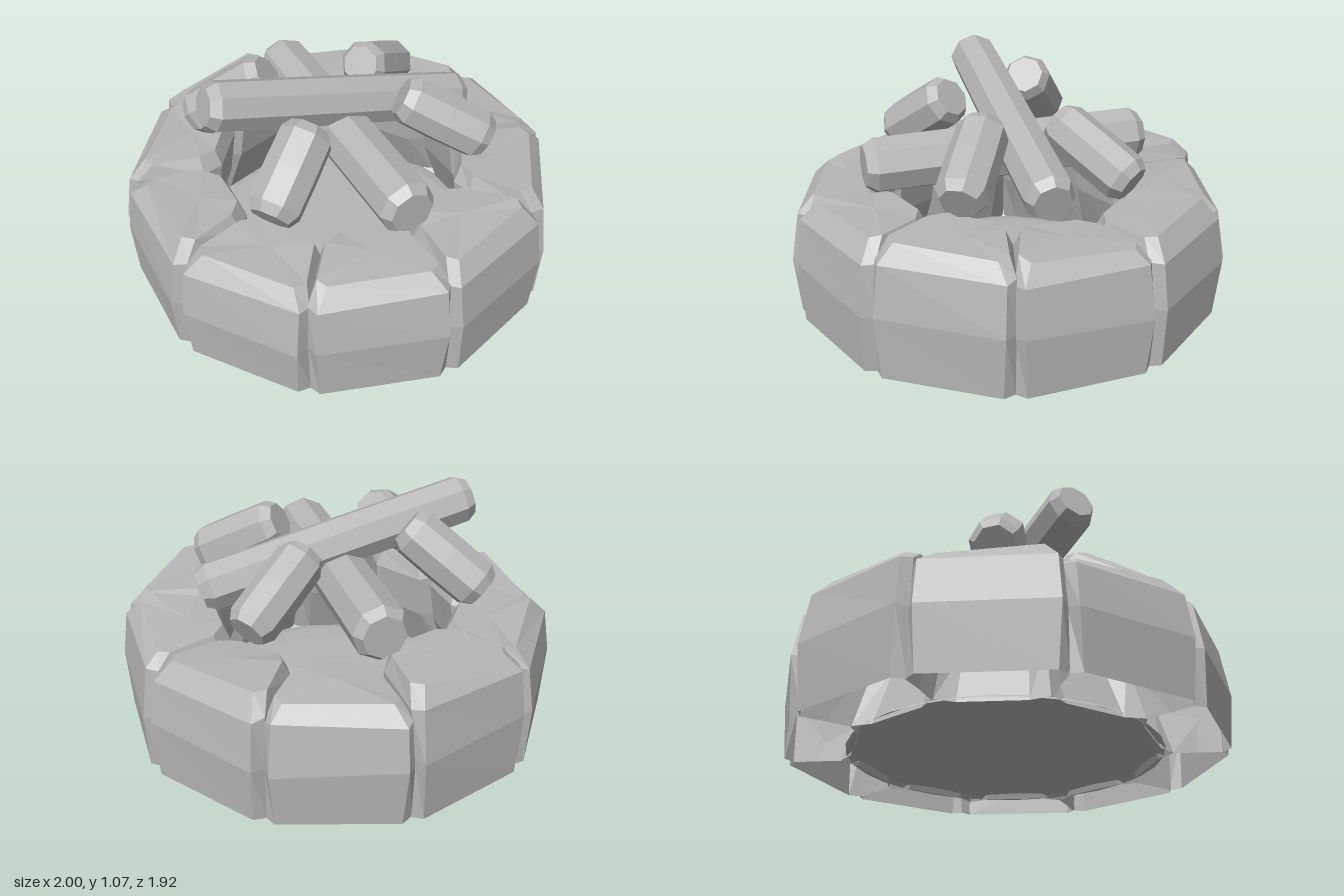
import * as THREE from 'three';

const stoneGrey = new THREE.MeshStandardMaterial({ color: 0xb6b6b6, flatShading: true, side: THREE.DoubleSide });
stoneGrey.name = 'stoneGrey';

let seed = 7;
const jitter = (a) => {
  seed = (seed * 16807) % 2147483647;
  return (seed / 2147483647 - 0.5) * 2 * a;
};

// One half of a cross-section per level: [height fraction, four (half width, radius) corners from outside to inside]
const LEVELS = [
  [0, [0.258, 0.945], [0.297, 0.9], [0.223, 0.7], [0.14, 0.665]],
  [0.48, [0.275, 0.96], [0.297, 0.905], [0.202, 0.62], [0.13, 0.56]],
  [0.87, [0.265, 0.93], [0.289, 0.88], [0.199, 0.6], [0.125, 0.53]],
  [1, [0.215, 0.865], [0.248, 0.82], [0.172, 0.62], [0.105, 0.56]],
];

// Chunky wedge-shaped boulder, open underneath; z is the radial direction
function stoneGeometry(height) {
  const pos = [], index = [];
  const lean = jitter(0.015);
  LEVELS.forEach(([f, ...half], level) => {
    const ring = [...half, ...half.map(([x, z]) => [-x, z]).reverse()];
    ring.forEach(([x, z]) => {
      const a = level === 0 ? 0 : 0.006;
      const y = f * height + (level > 0 ? jitter(0.012) + (level === 3 ? lean * x * 4 : 0) : 0);
      pos.push(x + jitter(a), y, z + jitter(a));
    });
  });
  for (let l = 0; l < LEVELS.length - 1; l++) {
    for (let i = 0; i < 8; i++) {
      const a = l * 8 + i, b = l * 8 + (i + 1) % 8;
      index.push(a, a + 8, b, b, a + 8, b + 8);
    }
  }
  const top = (LEVELS.length - 1) * 8;
  pos.push(0, height + 0.004, 0.7);
  for (let i = 0; i < 8; i++) index.push(top + i, top + 8, top + (i + 1) % 8);
  // turn every face outward
  for (let i = 0; i < index.length; i += 3) {
    const [p, q, r] = [0, 1, 2].map((k) => new THREE.Vector3().fromArray(pos, index[i + k] * 3));
    const n = q.clone().sub(p).cross(r.clone().sub(p));
    const out = p.clone().add(q).add(r).divideScalar(3).sub(new THREE.Vector3(0, height / 2, 0.76));
    if (n.dot(out) < 0) [index[i + 1], index[i + 2]] = [index[i + 2], index[i + 1]];
  }
  const g = new THREE.BufferGeometry();
  g.setAttribute('position', new THREE.Float32BufferAttribute(pos, 3));
  g.setIndex(index);
  const flat = g.toNonIndexed();
  flat.computeVertexNormals();
  return flat;
}

// Eight-sided log with bevelled ends, running between two points
function makeLog(name, from, to, r) {
  const a = new THREE.Vector3(...from), b = new THREE.Vector3(...to);
  const h = a.distanceTo(b) / 2 + 0.02;
  const profile = [[0, -h], [r * 0.76, -h], [r, -h + 0.045], [r * 1.02, 0], [r, h - 0.045], [r * 0.76, h], [0, h]]
    .map(([x, y]) => new THREE.Vector2(x, y));
  const mesh = new THREE.Mesh(new THREE.LatheGeometry(profile, 8, Math.PI / 8), stoneGrey);
  mesh.position.copy(a).add(b).multiplyScalar(0.5);
  mesh.quaternion.setFromUnitVectors(new THREE.Vector3(0, 1, 0), b.sub(a).normalize());
  mesh.name = name;
  return mesh;
}

export function createModel() {
  const model = new THREE.Group();
  model.name = 'firePit';

  // Ring of ten boulders, from the left side round by the front
  const ring = new THREE.Group();
  ring.name = 'stoneRing';
  [0.55, 0.575, 0.565, 0.55, 0.525, 0.53, 0.56, 0.59, 0.535, 0.55].forEach((height, i) => {
    const stone = new THREE.Mesh(stoneGeometry(height), stoneGrey);
    stone.rotation.y = Math.PI / 2 - THREE.MathUtils.degToRad(18 + 36 * i);
    stone.name = 'stone' + (i + 1);
    ring.add(stone);
  });
  model.add(ring);

  // Low mound on the floor of the pit, hollow underneath
  const mound = [[0.7, 0.005], [0.68, 0.02], [0.62, 0.035], [0.5, 0.045], [0, 0.05]];
  const floor = new THREE.Mesh(
    new THREE.LatheGeometry(mound.map(([x, y]) => new THREE.Vector2(x, y)), 30), stoneGrey);
  floor.name = 'pitFloor';
  model.add(floor);

  // Stacked logs
  const logs = new THREE.Group();
  logs.name = 'logs';
  [
    ['topLongLog', [-0.57, 0.97, -0.215], [0.565, 0.67, 0.215], 0.112],
    ['lowerLongLog', [-0.22, 0.67, 0.605], [0.205, 0.68, -0.595], 0.127],
    ['backRightLog', [-0.205, 0.925, -0.265], [-0.39, 0.69, -0.525], 0.115],
    ['leftLog', [0.25, 0.85, -0.095], [0.59, 0.66, -0.195], 0.112],
    ['frontLeftLog', [0.155, 0.87, 0.25], [0.37, 0.69, 0.525], 0.115],
    ['rightLog', [-0.305, 0.86, 0.11], [-0.61, 0.65, 0.195], 0.12],
  ].forEach((spec) => logs.add(makeLog(...spec)));
  model.add(logs);

  return model;
}
